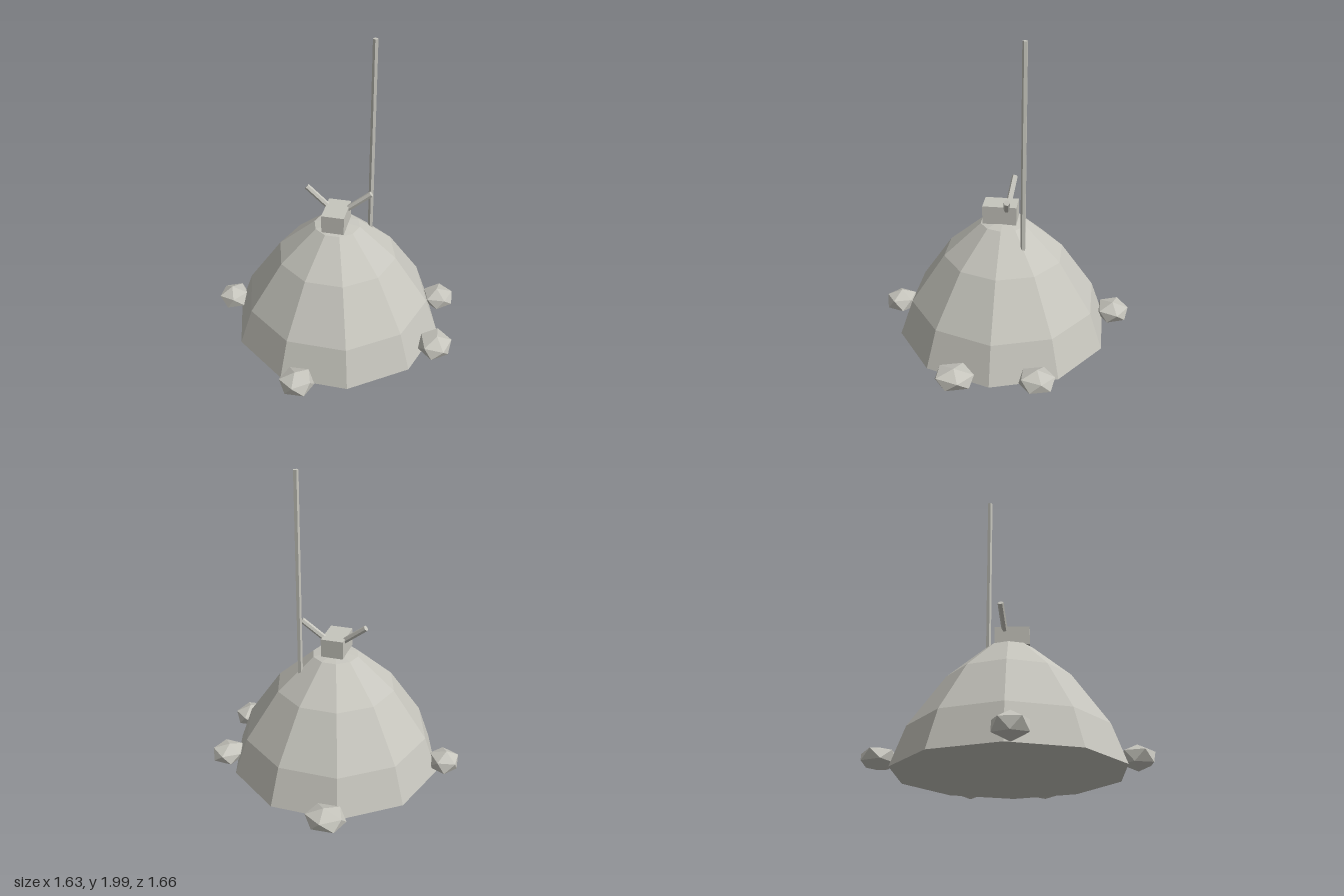
import * as THREE from 'three';

const stone = new THREE.MeshStandardMaterial({ color: 0xc6c5bd });
stone.name = 'paleGrey';

// Faceted mesh with one normal per face
function part(name, geometry) {
  const flat = geometry.index ? geometry.toNonIndexed() : geometry;
  flat.computeVertexNormals();
  const mesh = new THREE.Mesh(flat, stone);
  mesh.name = name;
  return mesh;
}

// Thin rod between two points
function rod(name, from, to, radius, sides) {
  const a = new THREE.Vector3(...from), b = new THREE.Vector3(...to);
  const mesh = part(name, new THREE.CylinderGeometry(radius, radius, a.distanceTo(b), sides));
  mesh.position.copy(a).lerp(b, 0.5);
  mesh.quaternion.setFromUnitVectors(new THREE.Vector3(0, 1, 0), b.sub(a).normalize());
  return mesh;
}

// Flattened boulder: a corner-up icosahedron, turned, squashed and slightly tilted
function boulder([x, y, z, sx, sy, sz, yaw, tilt]) {
  const g = new THREE.IcosahedronGeometry(1, 0);
  g.rotateX(-Math.atan((1 + Math.sqrt(5)) / 2));
  g.rotateY(yaw);
  g.rotateZ(tilt);
  g.scale(sx, sy, sz);
  const mesh = part('boulder', g);
  mesh.position.set(x, y, z);
  return mesh;
}

export function createModel() {
  const model = new THREE.Group();
  model.name = 'domeShelter';

  // Ten-sided mound with a closed floor
  const profile = [[0, 0.02], [0.695, 0.02], [0.61, 0.26], [0.39, 0.58], [0.15, 0.79], [0, 0.815]];
  const dome = part('dome', new THREE.LatheGeometry(
    profile.map(([r, y]) => new THREE.Vector2(r, y)), 10, Math.PI / 2));
  dome.position.x = 0.008;
  model.add(dome);

  // Block on the peak with two splayed horns
  const block = part('topBlock', new THREE.BoxGeometry(0.145, 0.12, 0.216));
  block.position.set(0.007, 0.86, 0.02);
  model.add(block);
  for (const [name, s] of [['leftHorn', 1], ['rightHorn', -1]]) {
    model.add(rod(name, [0.008 + s * 0.055, 0.895, -0.025], [0.008 + s * 0.21, 1.018, -0.045], 0.019, 6));
  }

  // Tall mast behind the peak
  model.add(rod('mast', [0.2, 0.69, -0.145], [0.2, 2, -0.145], 0.017, 5));

  // Boulders around the foot: centre, half sizes, turn, tilt
  const boulders = [
    [-0.155, 0.077, -0.728, 0.135, 0.068, 0.117, Math.PI, -0.1],
    [0.675, 0.083, -0.285, 0.113, 0.066, 0.122, Math.PI, 0.1],
    [0.71, 0.085, 0.207, 0.117, 0.068, 0.136, Math.PI, -0.1],
    [-0.08, 0.085, 0.73, 0.117, 0.075, 0.112, 0, 0.1],
    [-0.724, 0.088, 0.036, 0.111, 0.077, 0.114, Math.PI / 2, 0.15],
  ];
  for (const b of boulders) model.add(boulder(b));

  return model;
}
